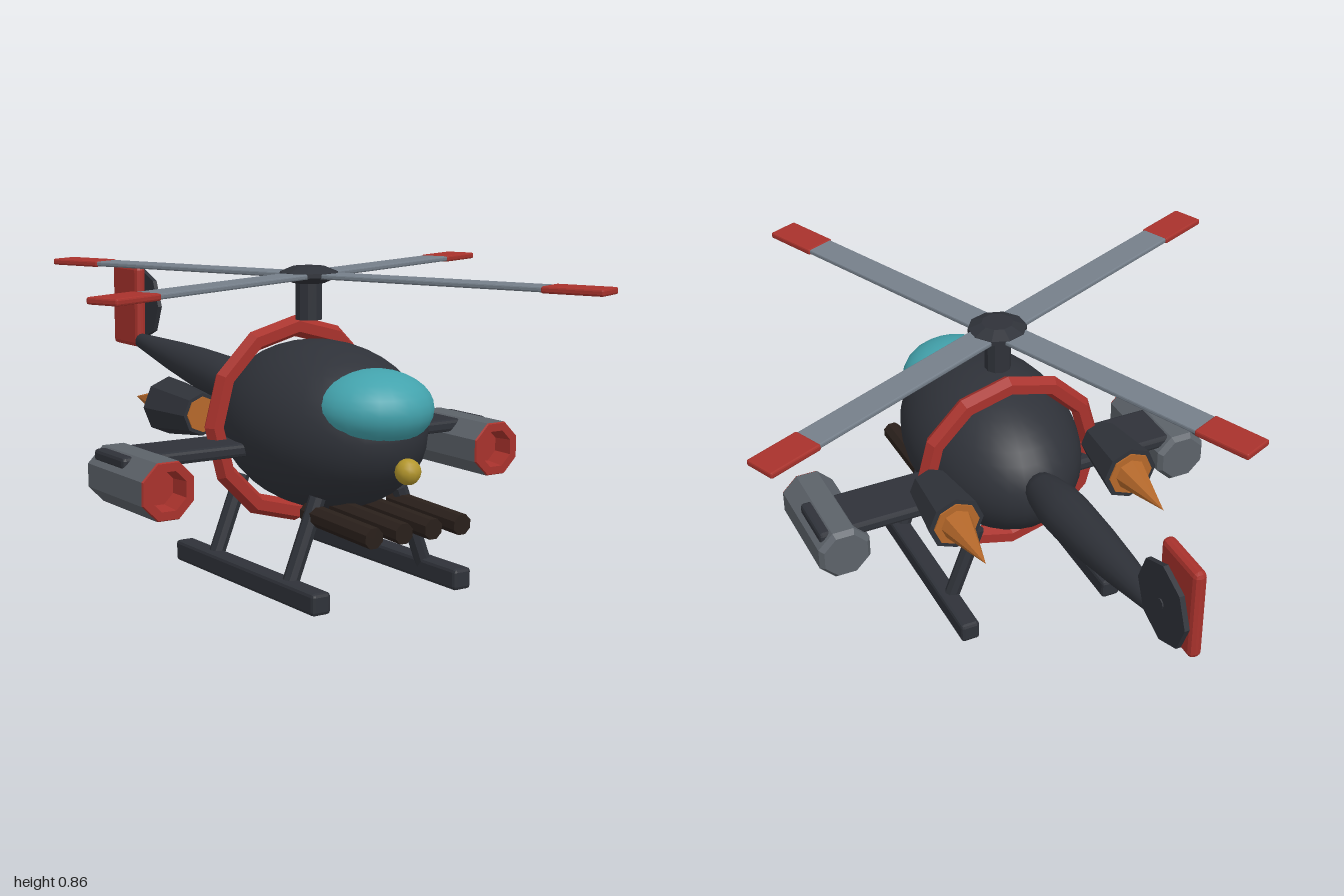
import * as THREE from 'three';
import { RoundedBoxGeometry } from 'three/addons/geometries/RoundedBoxGeometry.js';

const mat = (color, flat = true) => new THREE.MeshStandardMaterial({ color, flatShading: flat, side: THREE.DoubleSide });
const dark = mat(0x2f3239), darkSmooth = mat(0x2f3239, false), red = mat(0xa8322c);
const steel = mat(0x757f8a), grey = mat(0x5c6269), teal = mat(0x43a3ad, false);
const orange = mat(0xb5682a), yellow = mat(0xb3962c, false), brown = mat(0x2a201b);

export function createModel() {
  const model = new THREE.Group();

  const add = (name, geometry, material, x = 0, y = 0, z = 0, parent = model) => {
    const mesh = new THREE.Mesh(geometry, material);
    mesh.name = name;
    mesh.position.set(x, y, z);
    parent.add(mesh);
    return mesh;
  };
  const box = (w, h, d, bevel = 0.008) => new RoundedBoxGeometry(w, h, d, 1, bevel);
  // Cylinder lying along z, rFront towards +z
  const zCylinder = (rFront, rBack, length, sides = 8) =>
    new THREE.CylinderGeometry(rFront, rBack, length, sides).rotateX(Math.PI / 2);
  // Lathe about the z axis, points given as [radius, z]
  const zLathe = (points, sides) =>
    new THREE.LatheGeometry(points.map(p => new THREE.Vector2(...p)), sides).rotateX(Math.PI / 2);
  // Round bar between two points
  const bar = (name, a, b, r, material) => {
    const dir = b.clone().sub(a);
    const mid = a.clone().add(b).multiplyScalar(0.5);
    const mesh = add(name, new THREE.CylinderGeometry(r, r, dir.length(), 8), material, mid.x, mid.y, mid.z);
    mesh.quaternion.setFromUnitVectors(new THREE.Vector3(0, 1, 0), dir.normalize());
  };

  // Body, canopy and nose light
  add('fuselage', new THREE.SphereGeometry(1, 32, 20).scale(0.245, 0.232, 0.365), darkSmooth, 0, 0.432, 0.235);
  add('canopy', new THREE.SphereGeometry(1, 24, 16).scale(0.163, 0.105, 0.16), teal, 0, 0.508, 0.478);
  add('noseLight', new THREE.SphereGeometry(0.035, 12, 8), yellow, 0, 0.362, 0.632);
  add('bodyRing', new THREE.TorusGeometry(0.265, 0.03, 6, 12), red, 0, 0.425, 0.1);

  // Main rotor
  const rotor = new THREE.Group();
  rotor.name = 'mainRotor';
  rotor.position.set(0, 0.838, 0.17);
  model.add(rotor);
  add('mast', new THREE.CylinderGeometry(0.038, 0.038, 0.115, 10), dark, 0, -0.066, 0, rotor);
  const hub = [[0, -0.022], [0.045, -0.022], [0.084, -0.004], [0.084, 0.008], [0.045, 0.024], [0, 0.024]];
  add('rotorHub', new THREE.LatheGeometry(hub.map(p => new THREE.Vector2(...p)), 10), dark, 0, 0, 0, rotor);
  for (let i = 0; i < 4; i++) {
    const blade = new THREE.Group();
    blade.name = 'blade';
    blade.rotation.y = 0.405 + i * Math.PI / 2;
    rotor.add(blade);
    add('bladeArm', box(0.7, 0.014, 0.086, 0.004), steel, 0.39, 0, 0, blade);
    add('bladeTip', box(0.17, 0.018, 0.094, 0.005), red, 0.806, 0, 0, blade);
  }

  // Tail boom, fin and tail rotor
  const boom = add('tailBoom', zLathe([
    [0, 0], [0.04, 0], [0.055, -0.06], [0.068, -0.15], [0.069, -0.22],
    [0.061, -0.36], [0.049, -0.5], [0.035, -0.63], [0.024, -0.73], [0, -0.735],
  ], 16), darkSmooth, 0, 0.468, -0.08);
  boom.rotation.x = 0.115;
  add('tailFin', box(0.036, 0.265, 0.168, 0.014), red, 0, 0.663, -0.887);
  add('tailRotor', new THREE.CylinderGeometry(0.115, 0.115, 0.014, 8).rotateZ(Math.PI / 2), dark, 0.05, 0.663, -0.885);
  add('tailRotorHub', new THREE.CylinderGeometry(0.014, 0.014, 0.045, 8).rotateZ(Math.PI / 2), dark, 0.038, 0.663, -0.885);

  for (const s of [-1, 1]) {
    // Engine: flared nacelle with intake and exhaust spike
    add('engineNacelle', zCylinder(0.06, 0.083, 0.19), dark, s * 0.272, 0.455, -0.045);
    add('engineIntake', zCylinder(0.05, 0.05, 0.01), orange, s * 0.272, 0.455, 0.049);
    add('exhaustPlate', zCylinder(0.068, 0.068, 0.01), orange, s * 0.272, 0.455, -0.14);
    add('exhaustSpike', zCylinder(0.05, 0, 0.2), orange, s * 0.272, 0.455, -0.235);

    // Stub wing and pod with a recessed mouth
    add('wing', box(0.46, 0.036, 0.168, 0.01), dark, s * 0.378, 0.375, 0.13);
    const pod = new THREE.Group();
    pod.name = 'wingPod';
    pod.position.set(s * 0.543, 0.32, 0.18);
    pod.rotation.z = Math.PI / 8;
    model.add(pod);
    add('podShell', zLathe([[0, -0.16], [0.07, -0.16], [0.083, -0.145], [0.083, 0.155]], 8), grey, 0, 0, 0, pod);
    add('podMouth', zLathe([[0.083, 0.155], [0.08, 0.16], [0.056, 0.16], [0.05, 0.1], [0, 0.1]], 8), red, 0, 0, 0, pod);

    // Landing skid and its two legs
    add('skid', box(0.058, 0.06, 0.71, 0.01), dark, s * 0.231, 0.03, 0.225);
    for (const z of [0.415, 0.035]) {
      bar('skidLeg', new THREE.Vector3(s * 0.228, 0.03, z), new THREE.Vector3(s * 0.135, 0.27, z), 0.023, dark);
    }
  }

  // Row of four guns under the nose
  for (let i = 0; i < 4; i++) {
    const gun = add('gun', zCylinder(0.029, 0.029, 0.3), brown, -0.142 + i * 0.0947, 0.219, 0.532);
    gun.rotation.x = 0.035;
    gun.geometry.rotateZ(Math.PI / 8);
  }

  return model;
}
